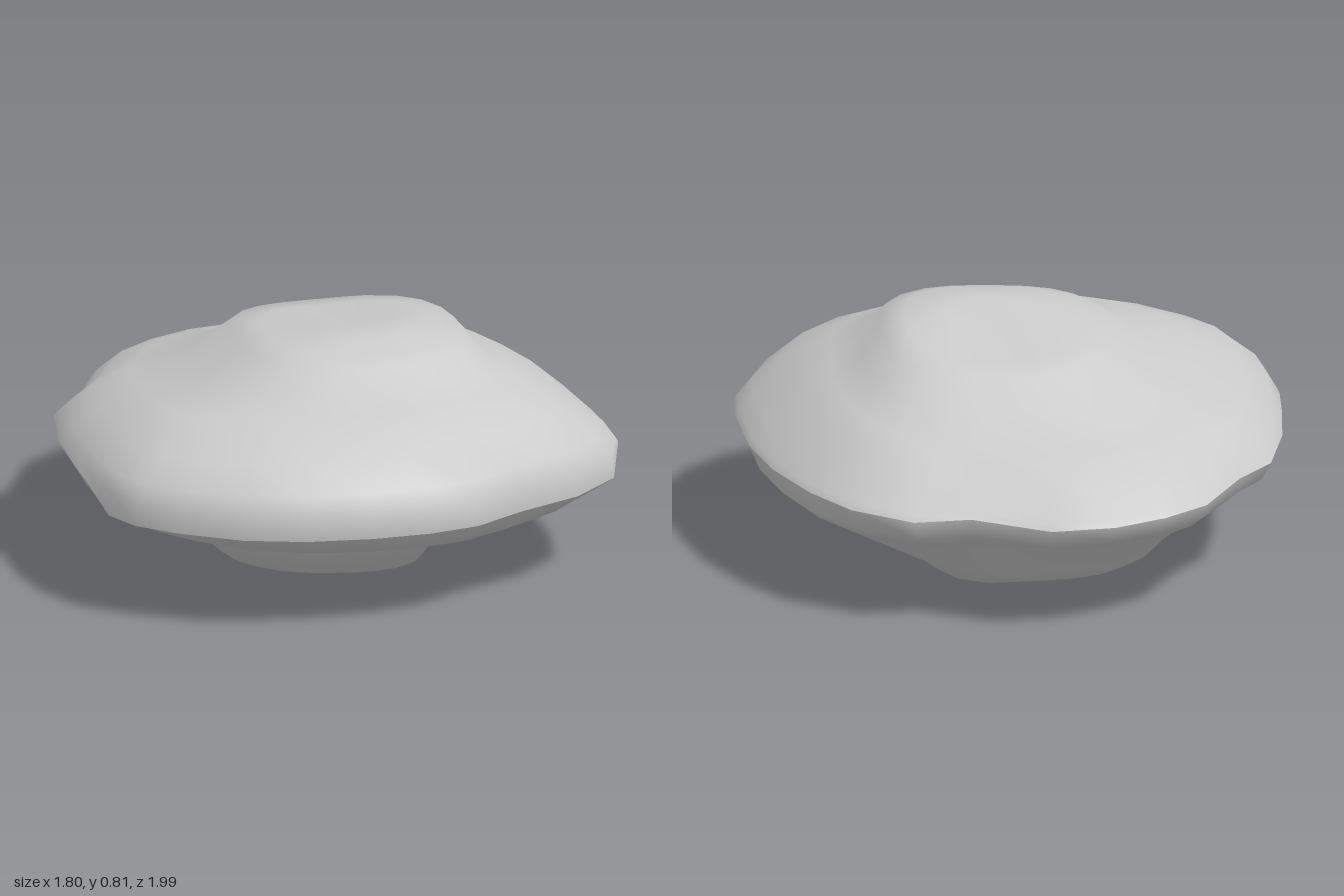
import * as THREE from 'three';
import { mergeVertices } from 'three/addons/utils/BufferGeometryUtils.js';

// Plan outline of the rim (x, z), from the front round by +x, with a notch at the back
const OUTLINE = [
  [-0.08, 0.99], [0.12, 0.98], [0.29, 0.94], [0.46, 0.83], [0.68, 0.72], [0.84, 0.56], [0.9, 0.37],
  [0.9, 0.2], [0.87, -0.1], [0.8, -0.35], [0.69, -0.58], [0.56, -0.76], [0.36, -0.89], [0.17, -0.86],
  [-0.09, -1], [-0.3, -0.97], [-0.47, -0.88], [-0.61, -0.76], [-0.73, -0.5], [-0.84, -0.35],
  [-0.89, -0.07], [-0.9, 0.2], [-0.9, 0.37], [-0.87, 0.55], [-0.81, 0.68], [-0.69, 0.79],
  [-0.5, 0.91], [-0.3, 0.97],
];

// Ring rows: xMin, xMax, zMin, zMax, then heights at -x, +x, back, front, then roundness,
// extra fullness of the back corners, and how far the front part steps down
const RIM = [-0.9, 0.9, -1, 0.99, 0.4, 0.4, 0.38, 0.4, 0, 0, 0.06];
const UNDERSIDE = [
  [0, 0, -0.1, -0.1, 0, 0, 0, 0, 1],
  [-0.25, 0.18, -0.28, 0.25, 0.035, 0.015, 0.01, 0.03, 1, 0.3],
  [-0.42, 0.28, -0.42, 0.51, 0.07, 0.03, 0.02, 0.07, 0.9, 0.4],
  [-0.5, 0.36, -0.57, 0.58, 0.16, 0.13, 0.1, 0.16, 0.9, 0.5],
  [-0.62, 0.56, -0.68, 0.7, 0.23, 0.19, 0.22, 0.24, 0.8, 0.4],
  [-0.79, 0.8, -0.87, 0.88, 0.3, 0.29, 0.28, 0.26, 0.4, 0.2],
  [-0.86, 0.86, -0.98, 0.96, 0.335, 0.315, 0.325, 0.315, 0.1],
  RIM,
];
const TOP = [
  RIM,
  [-0.89, 0.89, -0.98, 1, 0.42, 0.42, 0.4, 0.405, 0],
  [-0.86, 0.84, -0.91, 0.97, 0.465, 0.47, 0.44, 0.49, 0.1],
  [-0.78, 0.72, -0.8, 0.88, 0.53, 0.57, 0.52, 0.59, 0.3],
  [-0.64, 0.6, -0.69, 0.67, 0.595, 0.63, 0.55, 0.665, 0.6],
  [-0.45, 0.5, -0.48, 0.55, 0.645, 0.68, 0.63, 0.69, 0.9],
  [-0.31, 0.43, -0.4, 0.47, 0.745, 0.757, 0.715, 0.755, 1],
  [-0.22, 0.35, -0.28, 0.4, 0.77, 0.784, 0.735, 0.775, 1],
  [-0.05, 0.22, 0.02, 0.3, 0.797, 0.803, 0.775, 0.797, 1],
  [0.11, 0.11, 0.19, 0.19, 0.81, 0.81, 0.81, 0.81, 1],
];

// One ring point: the outline, rounded with full corners, fitted to the ring's extents and heights
function ringPoint([x0, x1, z0, z1, yl, yr, yb, yf, round, fullBack = 0, stepDown = 0], [px, pz]) {
  let u = px / 0.9, w = pz;
  const r = Math.hypot(u, w);
  const corner = 1 + (0.36 + (w < 0 ? fullBack : 0)) * (u * w) ** 2 / r ** 4;
  const scale = 1 - round + round * corner / r;
  u *= scale;
  w *= scale;
  const len = r * scale;
  const y = (u * u * (yl + yr) + w * w * (yb + yf)) / (2 * len * len)
    + (u * (yr - yl) + w * (yf - yb)) / (2 * len) - (pz > 0.4 ? stepDown : 0);
  return [(x0 + x1) / 2 + u * (x1 - x0) / 2, y, (z0 + z1) / 2 + w * (z1 - z0) / 2];
}

// Smooth skin through a stack of rings, lowest first
function loft(name, rings) {
  const n = OUTLINE.length, positions = [], index = [];
  rings.forEach((ring, j) => OUTLINE.forEach((p, i) => {
    positions.push(...ringPoint(ring, p));
    if (j === rings.length - 1) return;
    const a = j * n + i, b = j * n + (i + 1) % n;
    index.push(a, b, a + n, b, b + n, a + n);
  }));
  let geometry = new THREE.BufferGeometry();
  geometry.setAttribute('position', new THREE.Float32BufferAttribute(positions, 3));
  geometry.setIndex(index);
  geometry = mergeVertices(geometry);
  geometry.computeVertexNormals();
  const mesh = new THREE.Mesh(geometry, new THREE.MeshStandardMaterial({ color: 0xcccccc }));
  mesh.name = name;
  return mesh;
}

export function createModel() {
  const rock = new THREE.Group();
  rock.name = 'rock';
  // Two skins meet in a sharp crease along the rim
  rock.add(loft('rockUnderside', UNDERSIDE), loft('rockTop', TOP));
  return rock;
}
